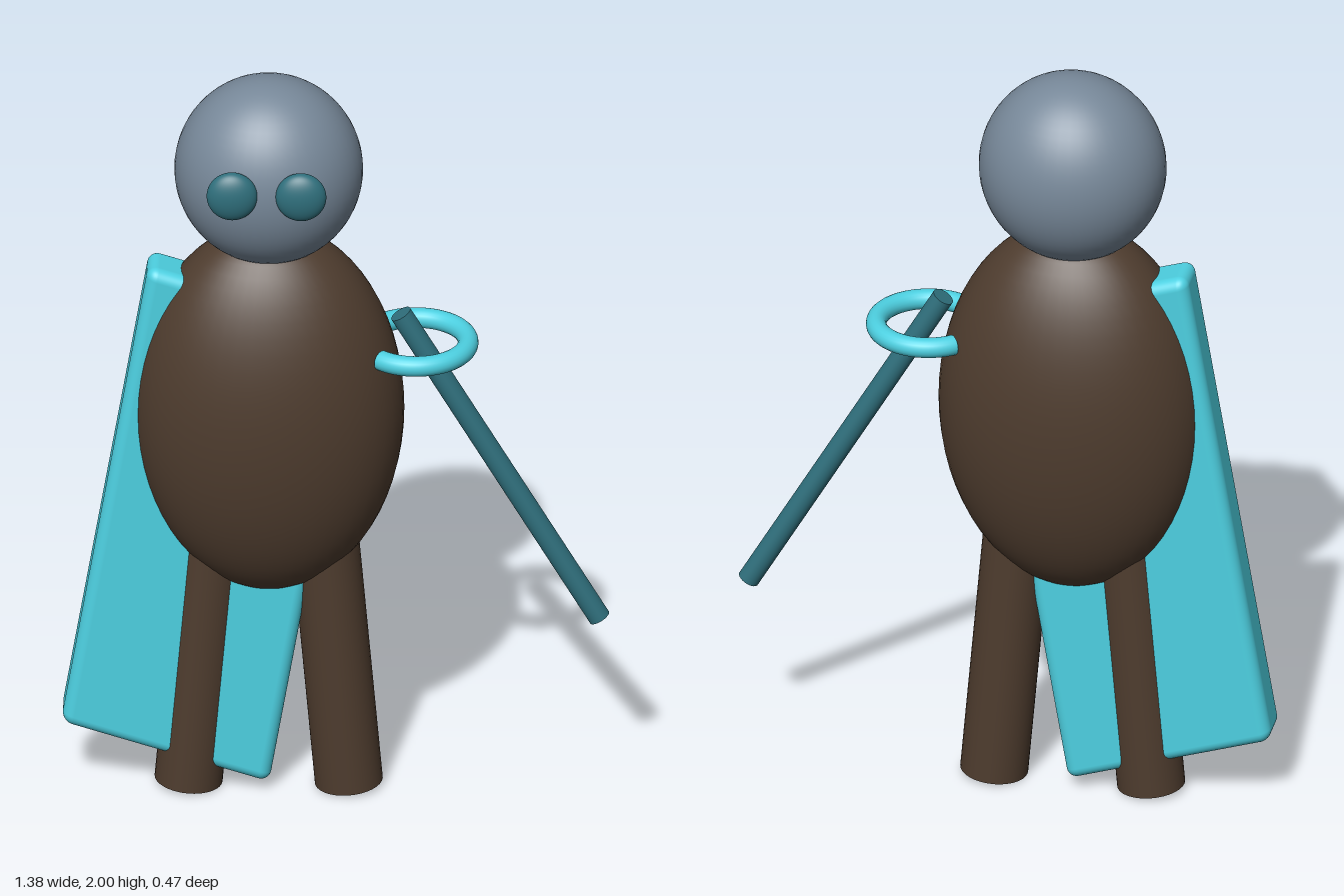
import * as THREE from 'three';
import { RoundedBoxGeometry } from 'three/addons/geometries/RoundedBoxGeometry.js';

const material = (color) => new THREE.MeshStandardMaterial({ color });
const AXIS_X = -0.172; // mirror line of the figure

export function createModel() {
  const model = new THREE.Group();
  model.name = 'cloakedFigure';
  const brown = material(0x4e3c2e);
  const grey = material(0x778899);
  const teal = material(0x2f6f7c);
  const cyan = material(0x4dd0e1);

  const add = (name, geometry, mat, parent = model) => {
    const mesh = new THREE.Mesh(geometry, mat);
    mesh.name = name;
    parent.add(mesh);
    return mesh;
  };
  const ellipsoid = (name, mat, [x, y, z], [rx, ry, rz]) => {
    const mesh = add(name, new THREE.SphereGeometry(1, 48, 32), mat);
    mesh.position.set(x, y, z);
    mesh.scale.set(rx, ry, rz);
  };
  // Straight rod between two points in the z = 0 plane
  const rod = (name, mat, [x0, y0], [x1, y1], radius) => {
    const length = Math.hypot(x1 - x0, y1 - y0);
    const mesh = add(name, new THREE.CylinderGeometry(radius, radius, length, 32), mat);
    mesh.position.set((x0 + x1) / 2, (y0 + y1) / 2, 0);
    mesh.rotation.z = -Math.atan2(x1 - x0, y1 - y0);
  };

  // Body and head
  ellipsoid('body', brown, [AXIS_X, 1.075, 0], [0.342, 0.51, 0.232]);
  ellipsoid('head', grey, [AXIS_X, 1.75, 0], [0.238, 0.25, 0.21]);

  // Eyes and splayed legs, mirrored
  for (const [side, s] of [['left', 1], ['right', -1]]) {
    ellipsoid(side + 'Eye', teal, [AXIS_X + s * 0.087, 1.777, 0.205], [0.064, 0.066, 0.033]);
    rod(side + 'Leg', brown, [AXIS_X + s * 0.202, 0.01], [AXIS_X + s * 0.135, 0.78], 0.086);
  }

  // Staff
  rod('staff', teal, [0.161, 1.34], [0.662, 0.482], 0.028);

  // Open ring hand, its gap toward the body
  const hand = new THREE.Group();
  hand.name = 'hand';
  hand.position.set(0.199, 1.26, 0);
  hand.rotation.x = Math.PI / 2;
  model.add(hand);
  const half = THREE.MathUtils.degToRad(130);
  const R = 0.132, r = 0.026;
  const ring = add('handRing', new THREE.TorusGeometry(R, r, 20, 64, half * 2), cyan, hand);
  ring.rotation.z = -half;
  for (const s of [1, -1]) {
    const cap = add('handTip', new THREE.CircleGeometry(r, 20), cyan, hand);
    cap.position.set(R * Math.cos(half), s * R * Math.sin(half), 0);
    cap.lookAt(cap.position.x - Math.sin(half), cap.position.y + s * Math.cos(half), 0);
    // face along the ring's tangent, out of the open end
    const tangent = new THREE.Vector3(-Math.sin(half), s * Math.cos(half), 0);
    cap.quaternion.setFromUnitVectors(new THREE.Vector3(0, 0, 1), tangent);
  }

  // Cape: a rounded slab, skewed into a parallelogram
  const across = new THREE.Vector3(0.525, -0.165, 0);
  const up = new THREE.Vector3(0.22, 1.3, 0);
  const slab = new RoundedBoxGeometry(across.length(), up.length(), 0.13, 5, 0.03);
  const skew = new THREE.Matrix4().makeBasis(
    across.normalize(), up.normalize(), new THREE.Vector3(0, 0, 1));
  slab.applyMatrix4(skew);
  add('cape', slab, cyan).position.set(-0.322, 0.757, 0);

  return model;
}
